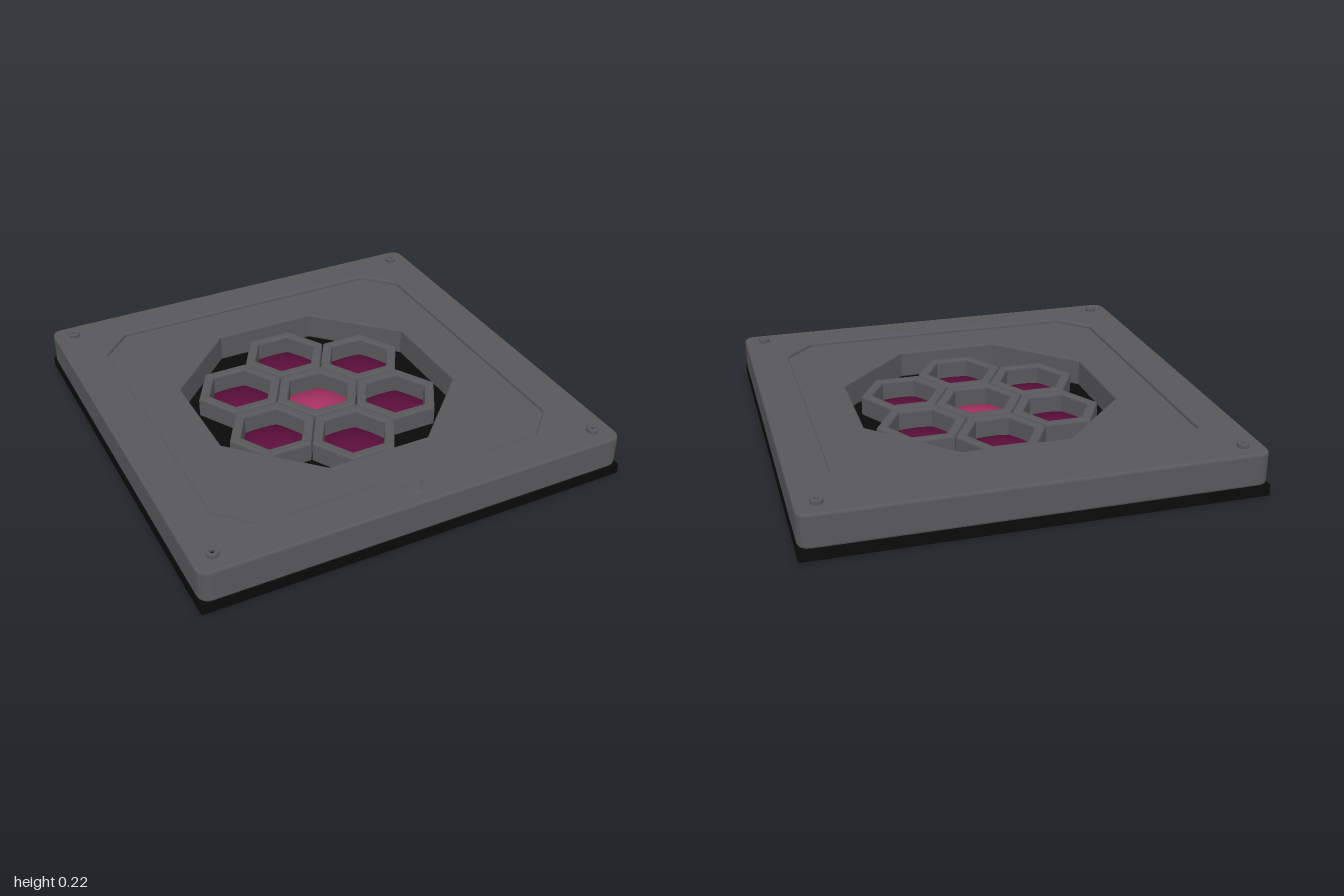
import * as THREE from 'three';

const grey = new THREE.MeshStandardMaterial({ name: 'grey casing', color: 0x58585b });
const black = new THREE.MeshStandardMaterial({ name: 'black base', color: 0x0a0a0a });
const plum = new THREE.MeshStandardMaterial({ name: 'dark magenta lens', color: 0x5c0f3c });
const pink = new THREE.MeshStandardMaterial({ name: 'bright magenta lens', color: 0xa83264 });

// Square of half-size h with corners cut by c
function cutSquare(h, c) {
  const k = h - c;
  return [[h, -k], [h, k], [k, h], [-k, h], [-h, k], [-h, -k], [-k, -h], [k, -h]]
    .map(([x, y]) => new THREE.Vector2(x, y));
}

function polygon(r, n) {
  return Array.from({ length: n }, (_, i) =>
    new THREE.Vector2(r * Math.cos(i * 2 * Math.PI / n), r * Math.sin(i * 2 * Math.PI / n)));
}

function roundedSquare(h, r) {
  const pts = [];
  for (let q = 0; q < 4; q++) {
    const cx = (q === 0 || q === 3 ? 1 : -1) * (h - r), cy = (q < 2 ? 1 : -1) * (h - r);
    for (let i = 0; i <= 4; i++) {
      const a = (q + i / 4) * Math.PI / 2;
      pts.push(new THREE.Vector2(cx + r * Math.cos(a), cy + r * Math.sin(a)));
    }
  }
  return pts;
}

// Bevelled horizontal slab between y0 and y1, with an optional hole
function slab(outer, hole, y0, y1, bevel) {
  const shape = new THREE.Shape(outer);
  if (hole) shape.holes.push(new THREE.Path(hole));
  const g = new THREE.ExtrudeGeometry(shape, {
    depth: y1 - y0 - 2 * bevel, bevelThickness: bevel, bevelSize: bevel,
    bevelOffset: -bevel, bevelSegments: 2,
  });
  return g.rotateX(-Math.PI / 2).translate(0, y0 + bevel, 0);
}

// Shallow dome that keeps the fuller sphere's soft normals
function lensGeometry() {
  const R = 0.225, cap = 0.85;
  const g = new THREE.SphereGeometry(R, 32, 8, 0, Math.PI * 2, 0, cap);
  const p = g.attributes.position, low = R * Math.cos(cap);
  for (let i = 0; i < p.count; i++) p.setY(i, 0.051 + (p.getY(i) - low) * 0.25);
  return g;
}

export function createModel() {
  const model = new THREE.Group();
  model.name = 'hexCellPanel';
  const add = (name, geo, mat, x = 0, y = 0, z = 0) => {
    const m = new THREE.Mesh(geo, mat);
    m.name = name;
    m.position.set(x, y, z);
    model.add(m);
    return m;
  };

  // Base and casing
  add('basePlate', new THREE.BoxGeometry(2, 0.05, 2), black, 0, 0.025, 0);
  add('outerFrame', slab(roundedSquare(0.998, 0.05), cutSquare(0.81, 0.14), 0.05, 0.2, 0.01), grey);
  add('recessedPanel', slab(cutSquare(0.83, 0.14), cutSquare(0.595, 0.35), 0.05, 0.183, 0.008), grey);

  // Seven hexagonal cells, each with a lens
  const cell = slab(polygon(0.21, 6), polygon(0.157, 6), 0.045, 0.147, 0.01);
  const lens = lensGeometry();
  for (let i = 0; i < 7; i++) {
    const a = (i + 0.5) * Math.PI / 3, d = i < 6 ? 0.368 : 0;
    const x = d * Math.cos(a), z = d * Math.sin(a);
    add('hexCell', cell, grey, x, 0, z);
    add('cellLens', lens, i < 6 ? plum : pink, x, 0, z);
  }

  // Corner screws with dark sockets
  const head = slab(polygon(0.027, 20), polygon(0.012, 6), 0.198, 0.22, 0.004);
  const socket = new THREE.CylinderGeometry(0.014, 0.014, 0.004, 6);
  for (const x of [-0.905, 0.905]) for (const z of [-0.905, 0.905]) {
    add('screwHead', head, grey, x, 0, z);
    add('screwSocket', socket, black, x, 0.203, z);
  }

  // Raised triangular marker pointing to the front
  const marker = new THREE.CylinderGeometry(0.036, 0.055, 0.012, 3);
  marker.scale(1.25, 1, 1);
  add('frontMarker', marker.toNonIndexed(), grey, 0, 0.204, 0.897);

  return model;
}
